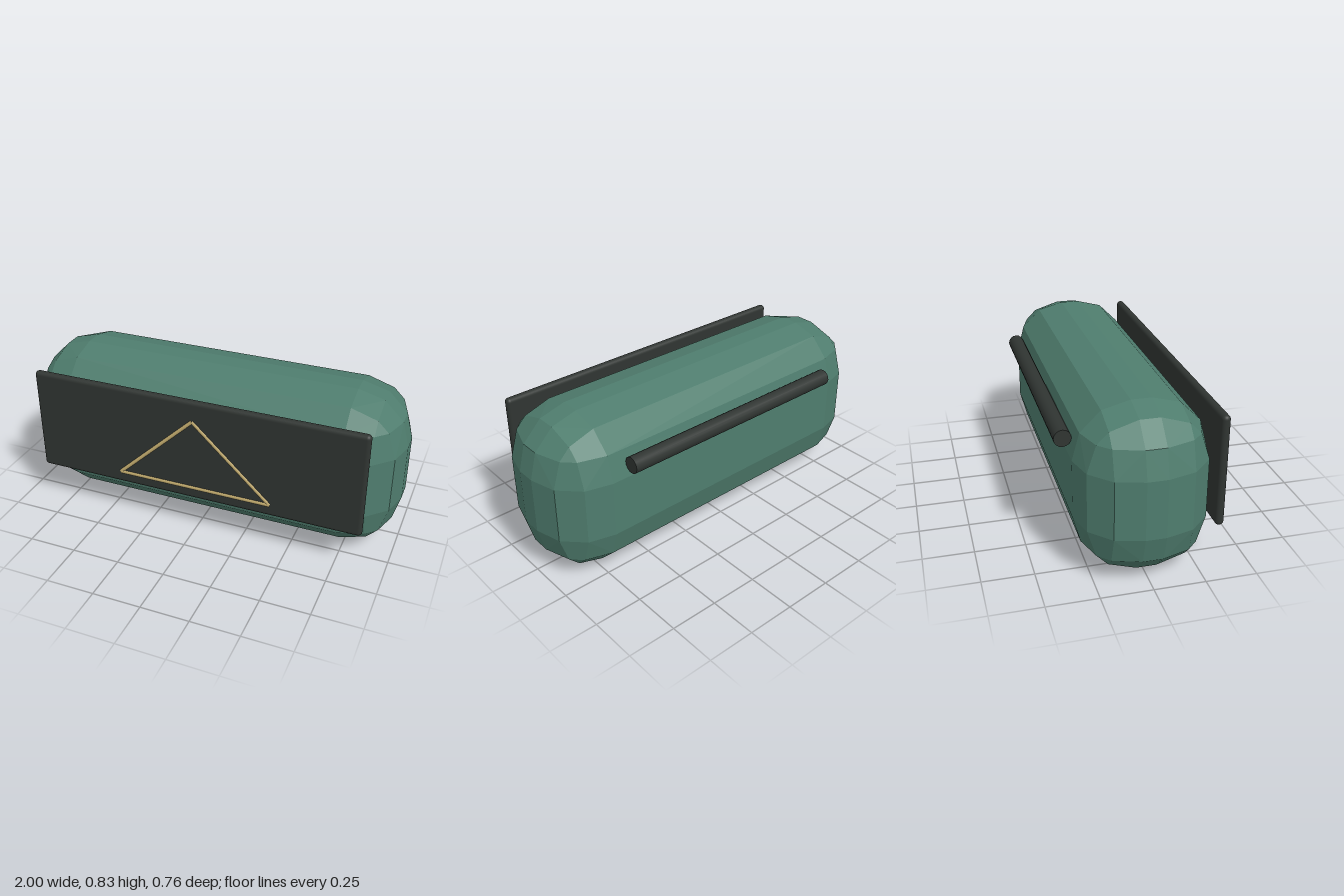
import * as THREE from 'three';
import { RoundedBoxGeometry } from 'three/addons/geometries/RoundedBoxGeometry.js';
import { ConvexGeometry } from 'three/addons/geometries/ConvexGeometry.js';

// Box with rounded edges of three facets each, as the hull of its corner points
function facetedBox(hx, hy, hz, r) {
  const c = Math.cos(Math.PI / 6), s = 0.5, d = Math.SQRT1_2;
  const directions = [];
  for (const [a, b, e] of [[1, 0, 0], [c, s, 0], [c, 0, s], [d, s, s]]) {
    directions.push([a, b, e], [e, a, b], [b, e, a]);
  }
  const points = [];
  for (const sx of [-1, 1]) for (const sy of [-1, 1]) for (const sz of [-1, 1]) {
    for (const [x, y, z] of directions) {
      points.push(new THREE.Vector3(sx * (hx - r + r * x), sy * (hy - r + r * y), sz * (hz - r + r * z)));
    }
  }
  return new ConvexGeometry(points);
}

// Cylinder running from one point to another
function bar(from, to, radius, sides, material) {
  const along = to.clone().sub(from);
  const mesh = new THREE.Mesh(new THREE.CylinderGeometry(radius, radius, along.length(), sides), material);
  mesh.position.copy(from).add(to).multiplyScalar(0.5);
  mesh.quaternion.setFromUnitVectors(new THREE.Vector3(0, 1, 0), along.normalize());
  return mesh;
}

export function createModel() {
  const model = new THREE.Group();
  const green = new THREE.MeshStandardMaterial({ color: 0x4f7d6e, flatShading: true });
  const dark = new THREE.MeshStandardMaterial({ color: 0x303532 });
  const gold = new THREE.MeshStandardMaterial({ color: 0xcdb574 });

  // Rounded main body
  const body = new THREE.Mesh(facetedBox(1, 0.414, 0.317, 0.268), green);
  body.name = 'body';
  body.position.set(0, 0.416, 0.004);
  model.add(body);

  // Flat panel floating before the front
  const panel = new THREE.Mesh(new RoundedBoxGeometry(1.755, 0.56, 0.042, 3, 0.02), dark);
  panel.name = 'frontPanel';
  panel.position.set(-0.002, 0.489, 0.353);
  model.add(panel);

  // Triangle of thin bars on the panel
  const triangle = new THREE.Group();
  triangle.name = 'triangleTrim';
  const corners = [[-0.41, 0.275], [0.41, 0.275], [0, 0.66]].map(([x, y]) => new THREE.Vector3(x, y, 0.365));
  corners.forEach((corner, i) => {
    const side = bar(corner, corners[(i + 1) % 3], 0.013, 8, gold);
    side.name = 'triangleBar';
    triangle.add(side);
  });
  model.add(triangle);

  // Rod across the upper back
  const rod = bar(new THREE.Vector3(-0.65, 0.636, -0.336), new THREE.Vector3(0.645, 0.636, -0.336), 0.042, 16, dark);
  rod.name = 'backRod';
  model.add(rod);

  return model;
}
